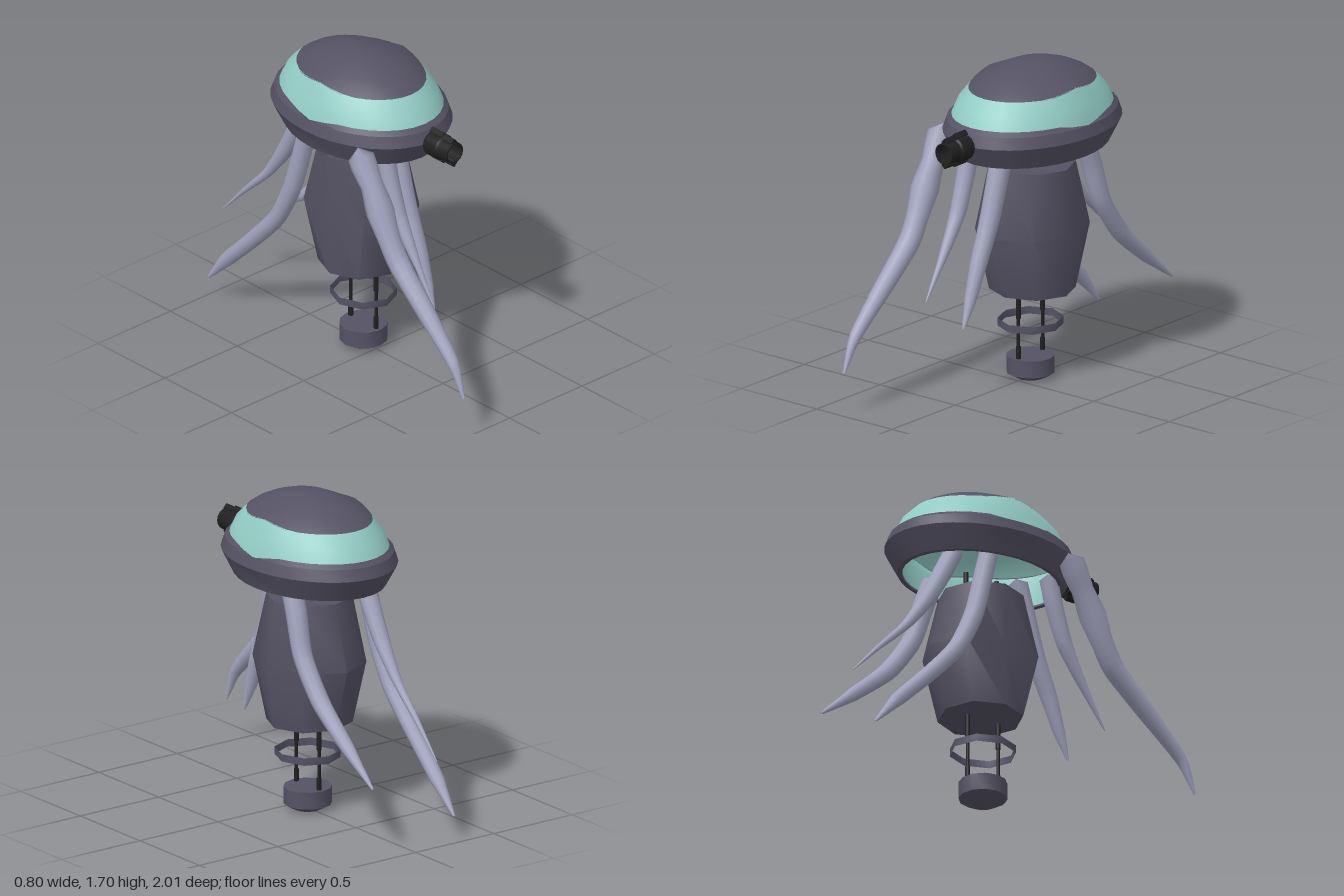
import * as THREE from 'three';
import { toCreasedNormals } from 'three/addons/utils/BufferGeometryUtils.js';

const material = (name, color, side = THREE.DoubleSide) =>
  Object.assign(new THREE.MeshStandardMaterial({ color, side }), { name });

export function createModel() {
  const model = new THREE.Group();
  model.name = 'tentacledDome';
  const dark = material('dark slate', 0x555264);
  const teal = material('teal', 0x93ccc5);
  const skin = material('pale lavender', 0xa0a2bc);
  const black = material('black', 0x202020);
  const CZ = -0.11; // centre line of dome and body

  const add = (name, geometry, mat, x = 0, y = 0, z = 0) => {
    const mesh = new THREE.Mesh(geometry, mat);
    mesh.name = name;
    mesh.position.set(x, y, z);
    model.add(mesh);
    return mesh;
  };
  const lathe = (points, segments) =>
    new THREE.LatheGeometry(points.map(([r, y]) => new THREE.Vector2(r, y)), segments);

  // Oval dome shells; each profile row is radius, height, and lift at the flanks
  const shell = (name, rows, mat) => {
    const g = lathe(rows, 32);
    const p = g.attributes.position;
    for (let i = 0; i < p.count; i++) {
      const z = p.getZ(i) * 1.325;
      const lift = rows[i % rows.length][2] || 0;
      p.setZ(i, z);
      p.setY(i, p.getY(i) + lift * Math.max(0, 1 - Math.abs(z) / 0.18));
    }
    add(name, toCreasedNormals(g, 0.45), mat, 0, 0, CZ);
  };
  shell('domeCap', [[0.288, 1.578, 0.028], [0.25, 1.613, 0.012], [0.2, 1.645], [0.13, 1.677],
    [0.06, 1.694], [0, 1.698]], dark);
  shell('domeBand', [[0.325, 1.26], [0.345, 1.4], [0.361, 1.45, -0.035], [0.333, 1.52],
    [0.285, 1.582, 0.026]], teal);
  shell('domeRim', [[0.325, 1.25], [0.345, 1.25], [0.366, 1.295, 0.025], [0.4, 1.37],
    [0.382, 1.43], [0.361, 1.452, -0.035], [0.35, 1.44, -0.035]], dark);

  // Barrel body, bulging at the middle and cut flat on one flank
  const body = lathe([[0, 0.475], [0.225, 0.475], [0.272, 0.81], [0.225, 1.15], [0, 1.15]], 8);
  const bp = body.attributes.position;
  for (let i = 0; i < bp.count; i++) {
    bp.setX(i, Math.max(-0.22, bp.getX(i)));
    bp.setZ(i, bp.getZ(i) * (bp.getY(i) === bp.getY(2) ? 1.17 : 0.97));
  }
  add('body', toCreasedNormals(body, 0.9), dark, 0, 0, CZ);

  // Hanging ring and foot
  const ring = new THREE.CylinderGeometry(0.174, 0.174, 0.04, 8, 1, true);
  ring.scale(0.95, 1, 1);
  add('ring', toCreasedNormals(ring, 0.9), dark, 0, 0.3, -0.095);
  add('foot', toCreasedNormals(lathe([[0, 0], [0.07, 0], [0.125, 0.03], [0.125, 0.12], [0, 0.12]], 12), 0.6),
    dark, 0, 0, -0.095);

  // Rods with thicker sleeves, below and above the body
  const rod = (name, z, y0, y1, sleeves) => {
    add(name, new THREE.CylinderGeometry(0.009, 0.009, y1 - y0, 8), black, 0, (y0 + y1) / 2, z);
    for (const y of sleeves)
      add(name + 'Sleeve', new THREE.CylinderGeometry(0.013, 0.013, 0.07, 8), black, 0, y, z);
  };
  for (const z of [0, -0.19]) rod('lowerRod', z, 0.1, 0.5, [0.15, 0.37, 0.44]);
  for (const z of [-0.01, -0.1, -0.2]) rod('upperRod', z, 1.13, 1.27, [1.18, 1.235]);

  // Hollow stepped eyepiece at the front, with diamond lugs above and below
  const eye = lathe([[0.05, 0], [0.062, 0], [0.068, 0.01], [0.068, 0.09], [0.06, 0.1],
    [0.057, 0.172], [0.05, 0.172], [0.05, 0]], 16);
  eye.rotateX(Math.PI / 2);
  add('eyepiece', toCreasedNormals(eye, 0.5), black, 0, 1.37, 0.418);
  for (const s of [1, -1])
    for (const [y, z, length] of [[0.07, 0.465, 0.09], [0.062, 0.545, 0.08]])
      add('eyepieceLug', new THREE.BoxGeometry(0.028, 0.028, length), black, 0, 1.37 + s * y, z)
        .rotation.z = Math.PI / 4;

  // Tapering tentacles; each row is x, y, z, radius
  const tentacle = (name, rows) => {
    const curve = new THREE.CatmullRomCurve3(
      rows.map(([x, y, z]) => new THREE.Vector3(x, y, z)), false, 'catmullrom', 0.35);
    const n = 28, sides = 10, last = rows.length - 1;
    const g = new THREE.TubeGeometry(curve, n, 1, sides);
    const p = g.attributes.position, v = new THREE.Vector3();
    for (let i = 0; i <= n; i++) {
      const t = curve.getUtoTmapping(i / n) * last;
      const k = Math.min(Math.floor(t), last - 1);
      const r = i === 0 ? 0 : THREE.MathUtils.lerp(rows[k][3], rows[k + 1][3], t - k);
      const c = curve.getPointAt(i / n);
      for (let j = 0; j <= sides; j++) {
        const id = i * (sides + 1) + j;
        v.fromBufferAttribute(p, id).sub(c).multiplyScalar(r).add(c);
        p.setXYZ(id, v.x, v.y, v.z);
      }
    }
    add(name, g, skin);
  };
  tentacle('frontOuterTentacle', [[-0.32, 1.37, 0.21, 0.068], [-0.318, 1.27, 0.26, 0.068],
    [-0.312, 1.18, 0.31, 0.057], [-0.312, 1.07, 0.365, 0.075], [-0.31, 0.94, 0.425, 0.058],
    [-0.305, 0.8, 0.51, 0.057], [-0.31, 0.58, 0.74, 0.046], [-0.315, 0.4, 0.92, 0.031],
    [-0.318, 0.23, 1.0, 0.006]]);
  tentacle('frontThinTentacle', [[-0.14, 1.32, 0.21, 0.05], [-0.14, 1.15, 0.25, 0.048],
    [-0.137, 0.95, 0.32, 0.042], [-0.135, 0.76, 0.43, 0.024], [-0.135, 0.54, 0.57, 0.003]]);
  tentacle('frontMiddleTentacle', [[0, 1.32, 0.11, 0.058], [0, 1.15, 0.16, 0.056],
    [0, 0.92, 0.23, 0.052], [0, 0.7, 0.32, 0.044], [0, 0.52, 0.385, 0.03], [0, 0.39, 0.435, 0.006]]);
  tentacle('backThinTentacle', [[-0.14, 1.32, -0.36, 0.05], [-0.138, 1.16, -0.44, 0.05],
    [-0.136, 0.98, -0.54, 0.042], [-0.135, 0.8, -0.67, 0.024], [-0.135, 0.63, -0.84, 0.014],
    [-0.135, 0.46, -1.0, 0.003]]);
  tentacle('backSideTentacle', [[0.225, 1.32, -0.235, 0.055], [0.23, 1.15, -0.3, 0.055],
    [0.24, 0.93, -0.37, 0.05], [0.238, 0.72, -0.52, 0.048], [0.232, 0.53, -0.74, 0.036],
    [0.23, 0.37, -0.94, 0.006]]);
  tentacle('backOuterTentacle', [[-0.25, 1.32, -0.225, 0.05], [-0.255, 1.15, -0.27, 0.05],
    [-0.265, 0.9, -0.34, 0.05], [-0.27, 0.68, -0.45, 0.045], [-0.275, 0.48, -0.63, 0.042],
    [-0.275, 0.29, -0.82, 0.038], [-0.275, 0.13, -0.96, 0.006]]);

  return model;
}
